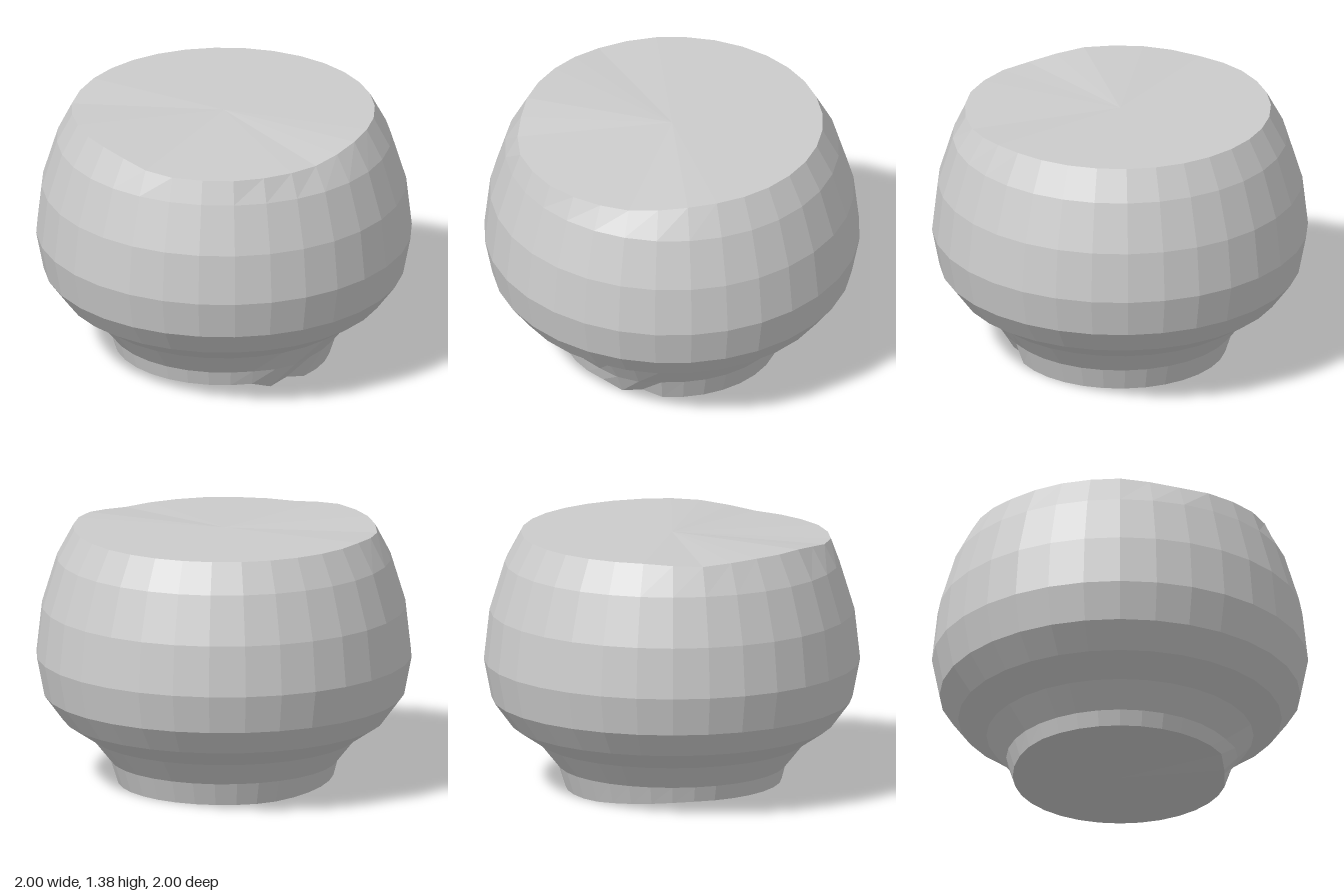
import * as THREE from 'three';

const SIDES = 32;

// Smooth bump: 1 between b and c (degrees), fading to 0 at a and d
const plateau = (t, a, b, c, d) =>
  THREE.MathUtils.clamp(Math.min((t - a) / (b - a), (d - t) / (d - c)), 0, 1);

// Profile rings between the two worn rims: [radius, height]
const BODY = [
  [0.605, 0.13], [0.71, 0.26], [0.86, 0.36], [0.96, 0.495],
  [1.0, 0.70], [0.97, 0.97], [0.89, 1.23],
];

// Foot rim: lifted at the front left, with a small chipped tooth at the front right
function footRim(deg) {
  const lift = plateau(deg, -150, -95, 23, 33);
  const chip = plateau(deg, 34, 45, 45, 56);
  return [0.565 + 0.018 * lift - 0.01 * chip, 0.007 + 0.04 * lift + 0.028 * chip];
}

// Top rim: cut lower and therefore wider at the front, slightly at the left
function topRim(deg) {
  const dip = plateau(deg, -42, -20, 45, 72);
  const wide = plateau(deg, -35, -12, 12, 50);
  const side = plateau(deg, -112, -92, -88, -72);
  return [0.803 + 0.042 * wide + 0.014 * side, 1.392 - 0.04 * dip - 0.015 * side];
}

// Ring of points; angle 0 faces the front, positive towards +x
function ring(rule) {
  return Array.from({ length: SIDES }, (_, i) => {
    const deg = (i * 360) / SIDES - 180;
    const a = THREE.MathUtils.degToRad(deg);
    const [r, y] = rule(deg);
    return new THREE.Vector3(r * Math.sin(a), y, r * Math.cos(a));
  });
}

function makeMesh(name, triangles) {
  const geometry = new THREE.BufferGeometry().setFromPoints(triangles);
  geometry.computeVertexNormals();
  const mesh = new THREE.Mesh(
    geometry,
    new THREE.MeshStandardMaterial({ color: 0xcccccc, flatShading: true })
  );
  mesh.name = name;
  return mesh;
}

// Skin between consecutive rings, listed from bottom to top
function skin(rings) {
  const tris = [];
  for (let k = 0; k + 1 < rings.length; k++) {
    for (let i = 0; i < SIDES; i++) {
      const j = (i + 1) % SIDES;
      const [a, b, c, d] = [rings[k][i], rings[k][j], rings[k + 1][j], rings[k + 1][i]];
      tris.push(a, b, c, a, c, d);
    }
  }
  return tris;
}

// Fan closing a ring
function cap(points, y, up) {
  const centre = new THREE.Vector3(0, y, 0);
  return points.flatMap((p, i) => {
    const q = points[(i + 1) % SIDES];
    return up ? [centre, p, q] : [centre, q, p];
  });
}

export function createModel() {
  const group = new THREE.Group();
  group.name = 'pot';

  const foot = ring(footRim);
  // The tooth pushes the foot wall out a little above the rim
  const rings = BODY.map(([r, y], k) =>
    ring((deg) => [r + (k === 0 ? 0.02 * plateau(deg, 20, 34, 45, 58) : 0), y])
  );
  const top = ring(topRim);

  group.add(makeMesh('footWall', skin([foot, ...rings.slice(0, 2)])));
  group.add(makeMesh('bowlWall', skin([...rings.slice(1), top])));
  group.add(makeMesh('topFace', cap(top, 1.39, true)));
  group.add(makeMesh('underside', cap(foot, 0.012, false)));

  // Settle the lowest point on the ground
  group.position.y = -new THREE.Box3().setFromObject(group).min.y;
  return group;
}
